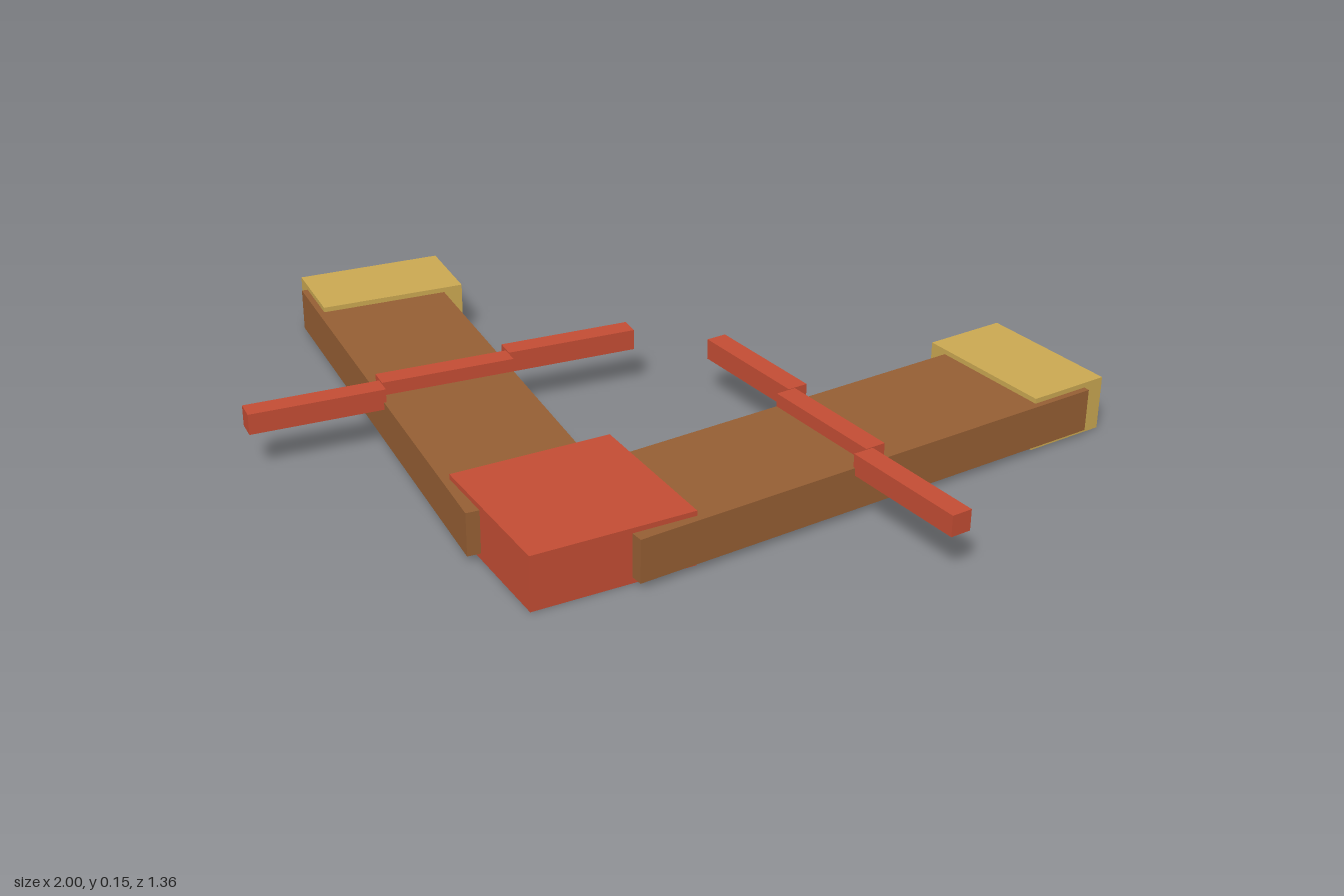
import * as THREE from 'three';

export function createModel() {
  const model = new THREE.Group();
  model.name = 'boomerang';

  const material = (name, color) => {
    const m = new THREE.MeshStandardMaterial({ color });
    m.name = name;
    return m;
  };
  const wood = material('brown wood', 0x965f34);
  const red = material('red paint', 0xc44d34);
  const gold = material('gold', 0xcba952);

  // Box standing between two heights, turned about the vertical axis
  function addBox(parent, name, mat, length, width, y0, y1, x, z, angle) {
    const mesh = new THREE.Mesh(new THREE.BoxGeometry(length, y1 - y0, width), mat);
    mesh.name = name;
    mesh.position.set(x, (y0 + y1) / 2, z);
    mesh.rotation.y = angle;
    parent.add(mesh);
  }

  // Square elbow where the two arms meet
  addBox(model, 'elbow', red, 0.382, 0.382, 0, 0.13, 0, 0.408, Math.PI / 4);

  // Mirrored arms, each with a tip block and three staggered stripes
  const sweep = THREE.MathUtils.degToRad(50);
  for (const [side, s] of [['left', 1], ['right', -1]]) {
    const wing = new THREE.Group();
    wing.name = side + 'Wing';
    model.add(wing);
    addBox(wing, side + 'Arm', wood, 1.227, 0.325, 0.015, 0.118, s * 0.457, -0.04, s * sweep);
    addBox(wing, side + 'Tip', gold, 0.204, 0.357, 0, 0.13, s * 0.797, -0.493, s * sweep);
    for (const i of [-1, 0, 1]) {
      addBox(wing, side + 'Stripe' + (i + 2), red, 0.05, 0.317, 0.1, 0.15,
        s * (0.45 + 0.222 * i), -0.038 + 0.232 * i, s * sweep);
    }
  }
  return model;
}
